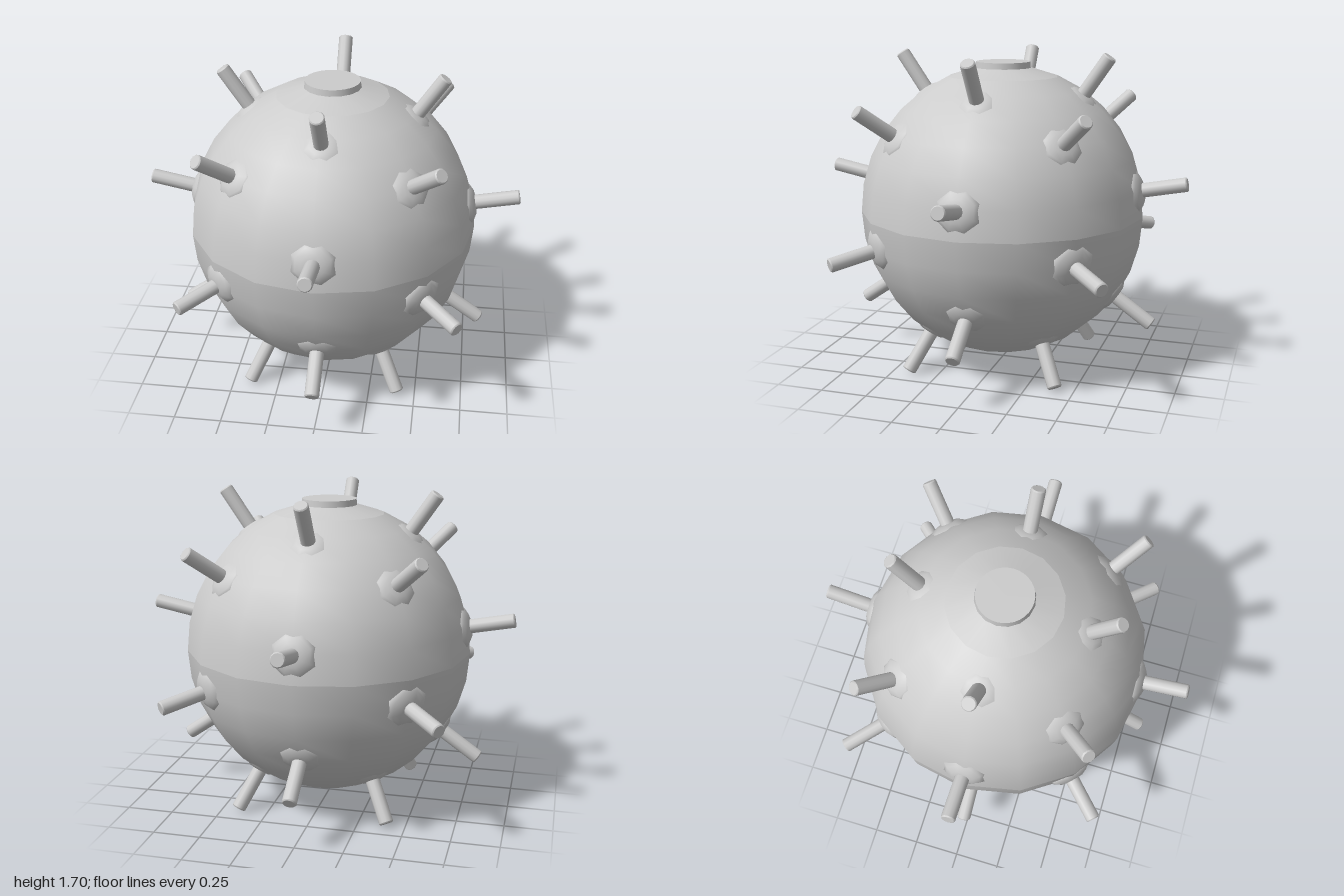
import * as THREE from 'three';

const CENTER_Y = 0.857, RX = 0.765, RY = 0.78;

export function createModel() {
  const model = new THREE.Group();
  const mat = new THREE.MeshStandardMaterial({ color: 0xcccccc });
  const core = new THREE.Group();
  core.position.y = CENTER_Y;
  model.add(core);

  const v = (r, y) => new THREE.Vector2(r, y);
  const lathe = (name, points, sides) => {
    const mesh = new THREE.Mesh(new THREE.LatheGeometry(points, sides), mat);
    mesh.name = name;
    core.add(mesh);
  };
  // Latitude rings of the hull, 11.25 degrees apart; -8 is the bottom, 8 the top
  const rings = (from, to) => {
    const pts = [];
    for (let i = from; i <= to; i++) {
      const a = i * Math.PI / 16;
      pts.push(v(RX * Math.cos(a), RY * Math.sin(a)));
    }
    return pts;
  };

  // Hull sections, separate so the seams stay crisp
  lathe('bottomCap', [v(0, -RY), ...rings(-7, -6)], 16);
  lathe('lowerHull', rings(-6, 0), 16);
  lathe('upperHull', rings(0, 6), 16);
  lathe('topCap', rings(6, 7), 16);

  // Raised round hatch at the top
  const hatch = new THREE.Mesh(new THREE.CylinderGeometry(0.143, 0.148, 0.05, 32), mat);
  hatch.name = 'topHatch';
  hatch.position.y = 0.772;
  core.add(hatch);

  // Shared horn parts, pointing along +y from the hull centre
  const flangeGeo = new THREE.LatheGeometry(
    [v(0.115, 0.69), v(0.12, 0.738), v(0.095, 0.758), v(0.062, 0.775), v(0.03, 0.778)], 8);
  flangeGeo.rotateY(Math.PI / 8);
  const rodGeo = new THREE.LatheGeometry(
    [v(0.038, 0.7), v(0.038, 1.004), v(0.038, 1.005), v(0.033, 1.011), v(0.032, 1.011), v(0, 1.011)], 12);

  // Six tiers of four horns; alternate tiers sit on the diagonals
  const tiers = [
    [55.5, 0], [35, 45], [11, 0], [-11, 45], [-35, 0], [-55.5, 45],
  ];
  for (const [elevation, offset] of tiers) {
    for (let k = 0; k < 4; k++) {
      const horn = new THREE.Group();
      horn.name = 'horn';
      const flange = new THREE.Mesh(flangeGeo, mat);
      flange.name = 'hornFlange';
      const rod = new THREE.Mesh(rodGeo, mat);
      rod.name = 'hornRod';
      horn.add(flange, rod);
      horn.rotation.set(0, THREE.MathUtils.degToRad(offset + k * 90),
        THREE.MathUtils.degToRad(elevation - 90), 'YXZ');
      core.add(horn);
    }
  }
  return model;
}
